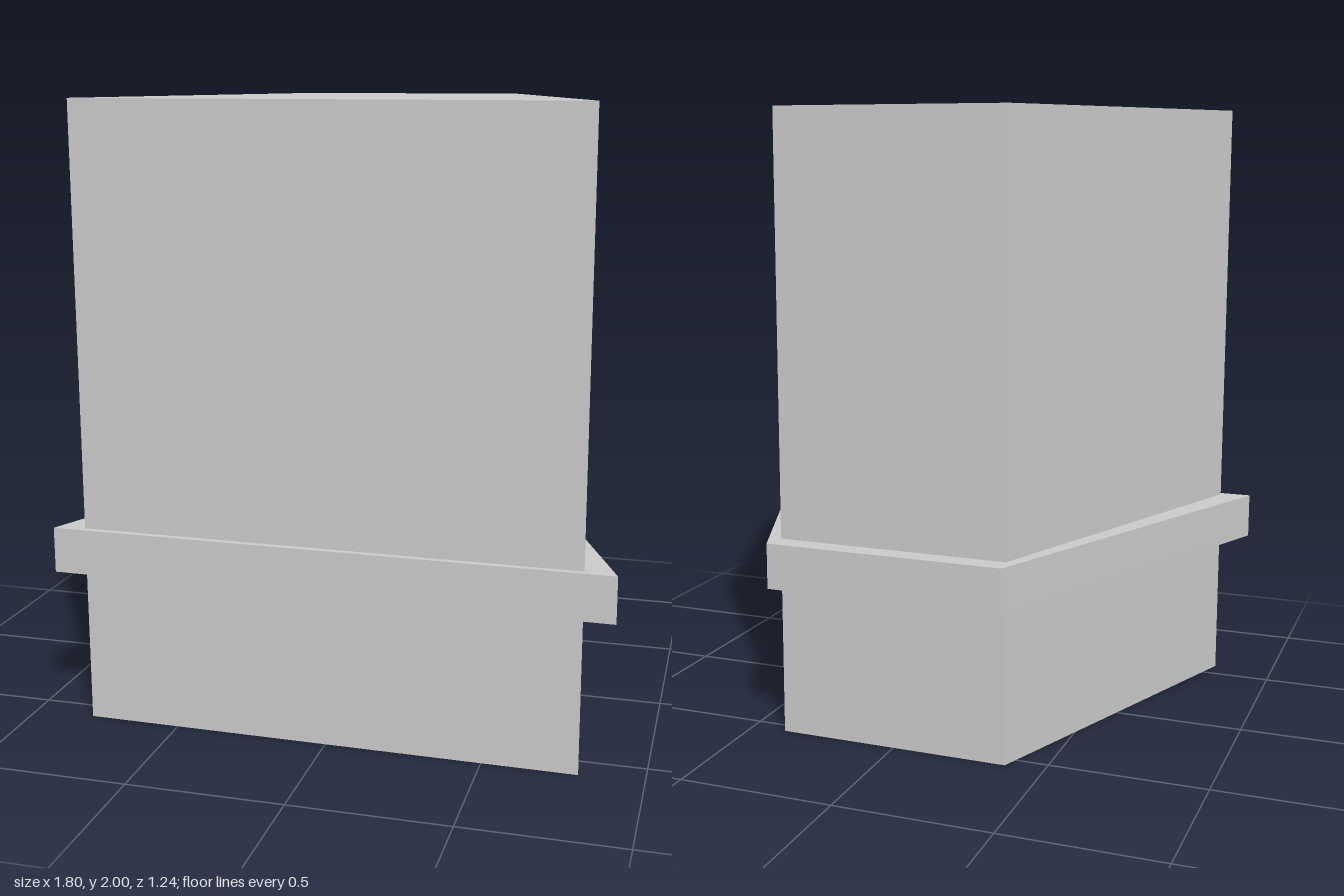
import * as THREE from 'three';
import { mergeGeometries } from 'three/addons/utils/BufferGeometryUtils.js';

const grey = new THREE.MeshStandardMaterial({ color: 0xcccccc, flatShading: true });
const HEIGHT = 2;

// Footprints as [x, z]: front right, back right, back left, front left
const BODY = [[0.8, 0.595], [0.385, -0.545], [-0.375, -0.55], [-0.8, 0.58]];
const LEDGE = [[0.9, 0.615], [0.4, -0.615], [-0.385, -0.62], [-0.9, 0.6]];

const shapeOf = (points) => new THREE.Shape(points.map(([x, y]) => new THREE.Vector2(x, y)));
const flipped = (points) => points.map(([x, z]) => [x, -z]);

function add(parent, name, geometry) {
  const mesh = new THREE.Mesh(geometry, grey);
  mesh.name = name;
  parent.add(mesh);
  return mesh;
}

// Frame on a wall: x runs from a to b, y is up, z points outward
function wallFrame(a, b, name) {
  const frame = new THREE.Group();
  frame.name = name;
  frame.position.set(a[0], 0, a[1]);
  frame.rotation.y = Math.atan2(-(b[1] - a[1]), b[0] - a[0]);
  frame.userData.length = Math.hypot(b[0] - a[0], b[1] - a[1]);
  return frame;
}

// Sunken panel with its reveals; a door has no sill
function recessGeometry({ u0, u1, y0, y1, depth, door }) {
  const w = u1 - u0, h = y1 - y0, cx = (u0 + u1) / 2, cy = (y0 + y1) / 2;
  const plane = (pw, ph, rx, ry, x, y, z) =>
    new THREE.PlaneGeometry(pw, ph).rotateX(rx).rotateY(ry).translate(x, y, z);
  const q = Math.PI / 2;
  const parts = [
    plane(w, h, 0, 0, cx, cy, -depth),
    plane(depth, h, 0, q, u0, cy, -depth / 2),
    plane(depth, h, 0, -q, u1, cy, -depth / 2),
    plane(w, depth, q, 0, cx, y1, -depth / 2),
  ];
  if (!door) parts.push(plane(w, depth, -q, 0, cx, y0, -depth / 2));
  return mergeGeometries(parts);
}

export function createModel() {
  const model = new THREE.Group();
  model.name = 'building';
  const [A, B, C, D] = BODY;

  // Plain walls
  [[B, C, 'backWall'], [C, D, 'leftWall'], [D, A, 'frontWall']].forEach(([a, b, name]) => {
    const frame = wallFrame(a, b, name);
    const length = frame.userData.length;
    add(frame, name + 'Surface', new THREE.PlaneGeometry(length, HEIGHT).translate(length / 2, HEIGHT / 2, 0));
    model.add(frame);
  });

  // Facade with windows, shop windows and door
  const facade = wallFrame(A, B, 'facade');
  const length = facade.userData.length;
  const along = (z) => (A[1] - z) / (A[1] - B[1]) * length;
  const opening = (name, z0, z1, y0, y1, depth, door = false) =>
    ({ name, u0: along(z0), u1: along(z1), y0, y1, depth, door });

  const door = opening('door', 0.17, -0.125, 0, 0.3, 0.035, true);
  const windows = [
    opening('shopWindow', 0.56, 0.268, 0.152, 0.465, 0.022),
    opening('shopWindow', -0.19, -0.482, 0.152, 0.465, 0.022),
  ];
  for (let row = 0; row < 6; row++) {
    for (let col = 0; col < 6; col++) {
      const z = 0.53 - col * 0.177, y = 0.76 + row * 0.204;
      windows.push(opening('window', z, z - 0.138, y, y + 0.148, 0.02));
    }
  }

  const wall = shapeOf([
    [0, 0], [door.u0, 0], [door.u0, door.y1], [door.u1, door.y1], [door.u1, 0],
    [length, 0], [length, HEIGHT], [0, HEIGHT],
  ]);
  for (const { u0, u1, y0, y1 } of windows) {
    wall.holes.push(shapeOf([[u0, y0], [u0, y1], [u1, y1], [u1, y0]]));
  }
  add(facade, 'facadeSurface', new THREE.ShapeGeometry(wall));
  [door, ...windows].forEach((o) => add(facade, o.name, recessGeometry(o)));
  model.add(facade);

  // Roof
  add(model, 'roof', new THREE.ShapeGeometry(shapeOf(flipped(BODY))).rotateX(-Math.PI / 2)).position.y = HEIGHT;

  // Underside, notched at the door
  facade.updateMatrix();
  const onGround = (u, z) => {
    const p = new THREE.Vector3(u, 0, z).applyMatrix4(facade.matrix);
    return [p.x, p.z];
  };
  const notch = [[door.u0, 0], [door.u0, -door.depth], [door.u1, -door.depth], [door.u1, 0]]
    .map(([u, z]) => onGround(u, z));
  add(model, 'underside', new THREE.ShapeGeometry(shapeOf([A, ...notch, B, C, D])).rotateX(Math.PI / 2));

  // Projecting ledge above the ground floor
  const ledge = new THREE.ExtrudeGeometry(shapeOf(flipped(LEDGE)), { depth: 0.148, bevelEnabled: false });
  add(model, 'ledge', ledge.rotateX(-Math.PI / 2)).position.y = 0.498;

  return model;
}
